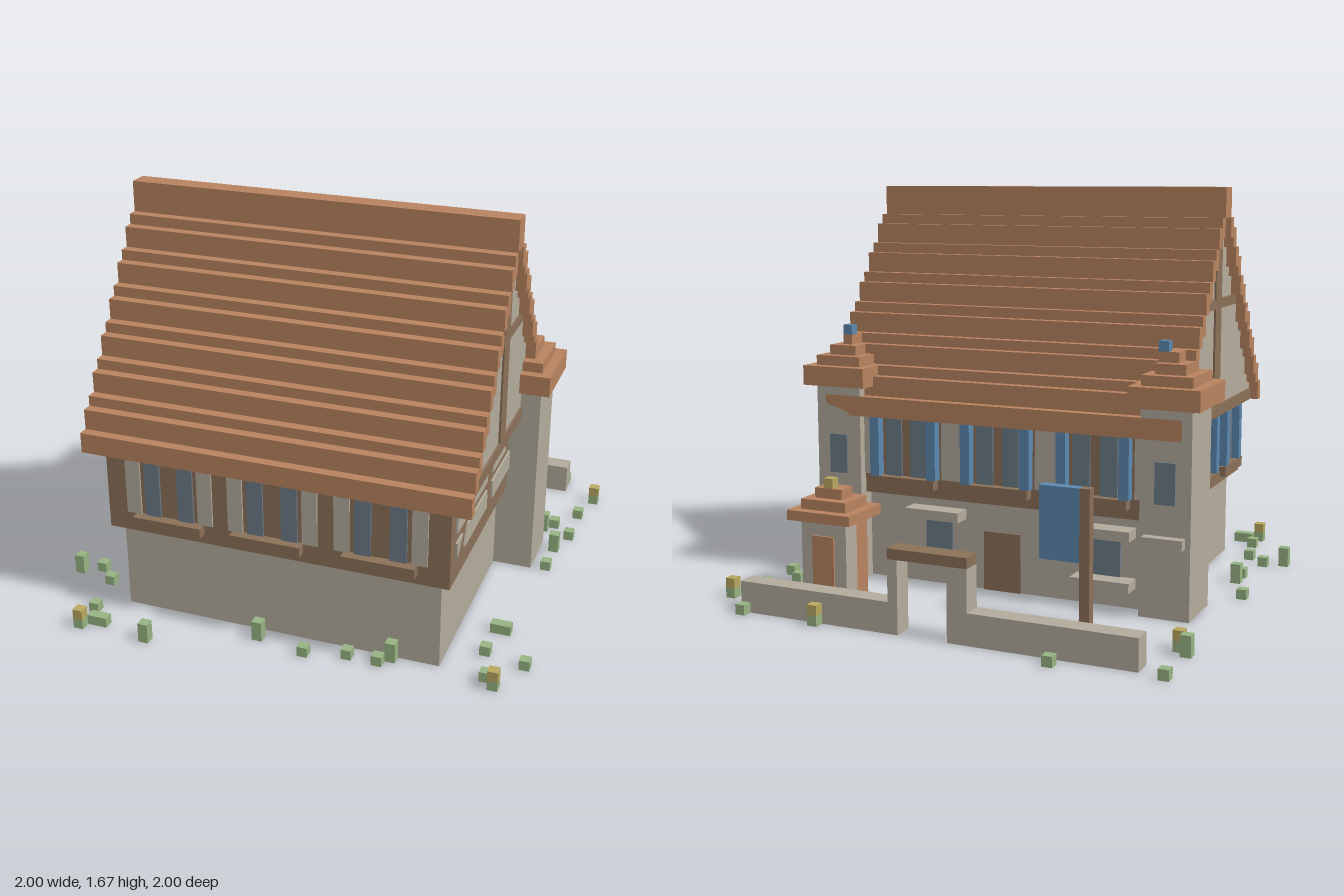
import * as THREE from 'three';

const U = 1 / 24; // one block
const T = 0.2; // thickness of painted plates, in blocks
const mat = (name, color) => {
  const m = new THREE.MeshStandardMaterial({ color });
  m.name = name;
  return m;
};

export function createModel() {
  const house = new THREE.Group();
  house.name = 'timberHouse';
  const stone = mat('stone', 0xb3ab9c);
  const timber = mat('timber', 0x8b7158);
  const tile = mat('roofTile', 0xb8835f);
  const glass = mat('glass', 0x6c7b86);
  const blue = mat('bluePaint', 0x5b88b0);
  const leaf = mat('leaf', 0x96b382);
  const bloom = mat('bloom', 0xb8a860);

  // Box from corner to corner, measured in blocks
  const box = (name, m, x0, x1, y0, y1, z0, z1) => {
    const g = new THREE.BoxGeometry((x1 - x0) * U, (y1 - y0) * U, (z1 - z0) * U);
    const mesh = new THREE.Mesh(g, m);
    mesh.position.set((x0 + x1) / 2 * U, (y0 + y1) / 2 * U, (z0 + z1) / 2 * U);
    mesh.name = name;
    house.add(mesh);
    return mesh;
  };
  // Outline of [z, y] points extruded along x from x0 to x1
  const prism = (name, m, pts, x0, x1) => {
    const s = new THREE.Shape(pts.map(([z, y]) => new THREE.Vector2(-z * U, y * U)));
    const g = new THREE.ExtrudeGeometry(s, { depth: (x1 - x0) * U, bevelEnabled: false });
    g.rotateY(Math.PI / 2).translate(x0 * U, 0, 0);
    const mesh = new THREE.Mesh(g, m);
    mesh.name = name;
    house.add(mesh);
  };

  // Ground floor: open underneath
  box('frontBaseWall', stone, -16, 16, 0, 9, 17, 18);
  box('backBaseWall', stone, -16, 16, 0, 9, -6, -5);
  box('rightBaseWall', stone, -16, -15, 0, 9, -5, 17);
  box('leftBaseWall', stone, 15, 16, 0, 9, -5, 17);
  box('ceiling', stone, -15, 15, 8.8, 9, -5, 17);

  // Upper floor
  box('upperFloor', timber, -17, 17, 9, 17, -7, 19);

  // Stepped roof, mirrored about the ridge at z = 6
  const tops = [19, 21, 22, 24, 25, 27, 28, 30, 31, 33, 34, 36, 37];
  const frontEdge = [[19, 17]], backEdge = [];
  tops.forEach((top, i) => {
    const z = 20 - i;
    box('roofStepFront', tile, -19, 19, top - 2, top, z - 1, z);
    box('roofStepBack', tile, -19, 19, top - 2, top, 12 - z, 13 - z);
    if (i > 0) {
      frontEdge.push([z, top - 2], [z - 1, top - 2]);
      backEdge.unshift([13 - z, top - 2], [12 - z, top - 2]);
    }
  });
  box('roofRidge', tile, -19, 19, 37, 40, 5, 7);
  prism('gable', stone, [...frontEdge, [7, 37], [5, 37], ...backEdge, [-7, 17]], -18, 18);

  // Gable timbers on both ends
  for (const s of [-1, 1]) {
    const plate = (name, z0, z1, y0, y1) =>
      box(name, timber, s > 0 ? 18 : -18 - T, s > 0 ? 18 + T : -18, y0, y1, z0, z1);
    plate('gablePost', 5, 7, 18.2, 37);
    plate('gableBeam', 7, 12, 28, 29);
    plate('gableBeam', 0, 5, 28, 29);
    plate('gableSill', -7, 19, 17, 18.2);
  }

  // Plaster between the braces on the left wall
  const panels = [
    [[17.6, 14], [17.6, 17], [12.6, 17], [14.4, 14]],
    [[12.2, 14], [10, 17], [7, 17], [7, 14]],
    [[14.8, 11.2], [13.8, 13.1], [7, 13.1], [7, 11.2]],
    [[17.4, 11.2], [17.6, 13], [15.6, 13]],
    [[5, 14], [5, 17], [2.5, 17], [-0.3, 14]],
    [[0, 17], [-2, 17], [-2, 14.8]],
    [[5, 11.2], [5, 13.1], [-2, 13.1], [-2, 11.2]],
  ];
  panels.forEach((p) => prism('plasterPanel', stone, p, 17, 17 + T));

  // Front windows: panes, flanking plaster and sills
  for (const [c, sill] of [[-10.5, -14], [0, -4], [10.5, 7]]) {
    for (const s of [-1, 1]) {
      const x = c + s * 1.7, p = c + s * 3.7;
      box('frontPane', glass, x - 0.8, x + 0.8, 11, 17, 19, 19 + T);
      box('frontPlaster', stone, p - 0.75, p + 0.75, 11, 17, 19, 19 + T);
    }
    box('frontSill', timber, sill, sill + 7, 10, 11, 19, 20);
  }

  // Back upper windows with blue shutters
  for (const c of [-10.2, 0, 10.2]) {
    for (const s of [-1, 1]) {
      const x = c + s * 1.4, p = c + s * 4.6;
      box('backPane', glass, x - 0.9, x + 0.9, 11, 17, -7 - T, -7);
      box('backPlaster', stone, p - 0.6, p + 0.6, 11, 17, -7 - T, -7);
      box('backShutter', blue, c + s * 3.2 - 0.5, c + s * 3.2 + 0.5, 11, 17, -8, -7);
    }
    box('backSill', timber, c - 3.5, c + 3.5, 10, 11, -8, -7);
  }

  // Right wall windows with blue shutters
  for (const c of [5.2, 13.6]) {
    for (const s of [-1, 1]) {
      const z = c + s * 1.1, p = c + s * 3.4;
      box('sidePane', glass, -17 - T, -17, 11, 17, z - 0.7, z + 0.7);
      box('sidePlaster', stone, -17 - T, -17, 11, 17, p - 0.6, p + 0.6);
      box('sideShutter', blue, -18, -17, 11, 17, c + s * 2.3 - 0.5, c + s * 2.3 + 0.5);
    }
    box('sideSill', timber, -18, -17, 10, 11, c - 3.2, c + 3.2);
  }

  // Ground floor door and windows at the back
  box('door', timber, -2, 2, 0, 6, -6 - T, -6);
  for (const c of [-11, 7]) {
    box('lowerWindow', glass, c - 1.5, c + 1.5, 3, 7, -6 - T, -6);
    box('lowerWindowSill', stone, c - 3, c + 3, 2, 3, -8, -6);
    box('lowerWindowHood', stone, c - 3, c + 3, 7, 8, -8, -6);
  }

  // Corner towers with stepped caps
  for (const s of [-1, 1]) {
    const side = (name, m, a, b, ...rest) =>
      box(name, m, s > 0 ? a : -b, s > 0 ? b : -a, ...rest);
    side('tower', stone, 15, 20, 0, 20, -8, -2);
    side('towerWindow', glass, 16.5, 18.5, 11, 15, -8 - T, -8);
    side('towerLedge', stone, 15.5, 19.5, 7, 8, -9, -8);
    side('towerRoof', tile, 14, 21, 20, 22, -9, -1);
    side('towerRoof', tile, 15, 20, 22, 23, -8, -2);
    side('towerRoof', tile, 16, 19, 23, 24, -7, -3);
    side('towerRoof', tile, s > 0 ? 17 : 16, 18, 24, 25, -6, -4);
    side('towerFinial', blue, s > 0 ? 17 : 16, s > 0 ? 18 : 17, 25, 26, -6, -5);
  }

  // Small garden hut
  box('hutBack', tile, 12, 17, 0, 8, -14, -12);
  box('hutFront', stone, 12, 17, 0, 8, -16, -14);
  box('hutDoor', tile, 13.3, 15.7, 0.5, 6.5, -16 - T, -16);
  box('hutRoof', tile, 11, 18, 8, 9, -17, -11);
  box('hutRoof', tile, 12, 17, 9, 10, -16, -12);
  box('hutRoof', tile, 13, 16, 10, 11, -15, -13);
  box('hutFlower', bloom, 14, 15, 11, 12, -15, -14);

  // Hanging banner on a post
  box('bannerPost', timber, -12, -11, 0, 13, -13, -12);
  box('banner', blue, -11, -7, 6, 13, -13, -12);

  // Garden wall with a gateway
  box('gardenWall', stone, -20, -4, 0, 3, -22, -20);
  box('gardenWall', stone, 4, 20, 0, 3, -22, -20);
  box('gatePost', stone, -4, -2, 0, 7, -22, -20);
  box('gatePost', stone, 3, 4, 0, 7, -22, -20);
  box('gateLintel', timber, -4, 4, 7, 8, -22, -20);

  // Grass tufts: x, z, height
  const tufts = [
    [-13, -24, 1], [-23, -23, 1], [19, -23, 1], [-23, -17, 2], [22, -15, 1],
    [20, -12, 1], [19, -11, 2], [22, -10, 1], [21, -7, 2], [21, -3, 1],
    [-23, 1, 1], [-21, 6, 2], [-21, 8, 1], [-22, 13, 1], [-24, 14, 2],
    [-20, 15, 1], [19, 10, 1], [20, 10, 1], [19, 14, 1], [20, 18, 1],
    [23, 15, 1], [-19, 20, 1], [3, 20, 1], [-18, 22, 1], [-17, 22, 1],
    [-12, 23, 2], [-2, 19, 2], [7, 19, 1], [10, 19, 1], [11, 18, 2],
  ];
  tufts.forEach(([x, z, h]) => box('grassTuft', leaf, x, x + 1, 0, h, z, z + 1));
  // Flowers on short stems
  for (const [x, z] of [[11, -23], [-17, -19], [23, -19], [-22, -16], [21, 19], [-19, 23]]) {
    box('flowerStem', leaf, x, x + 1, 0, 1, z, z + 1);
    box('flowerHead', bloom, x, x + 1, 1, 2, z, z + 1);
  }
  return house;
}
